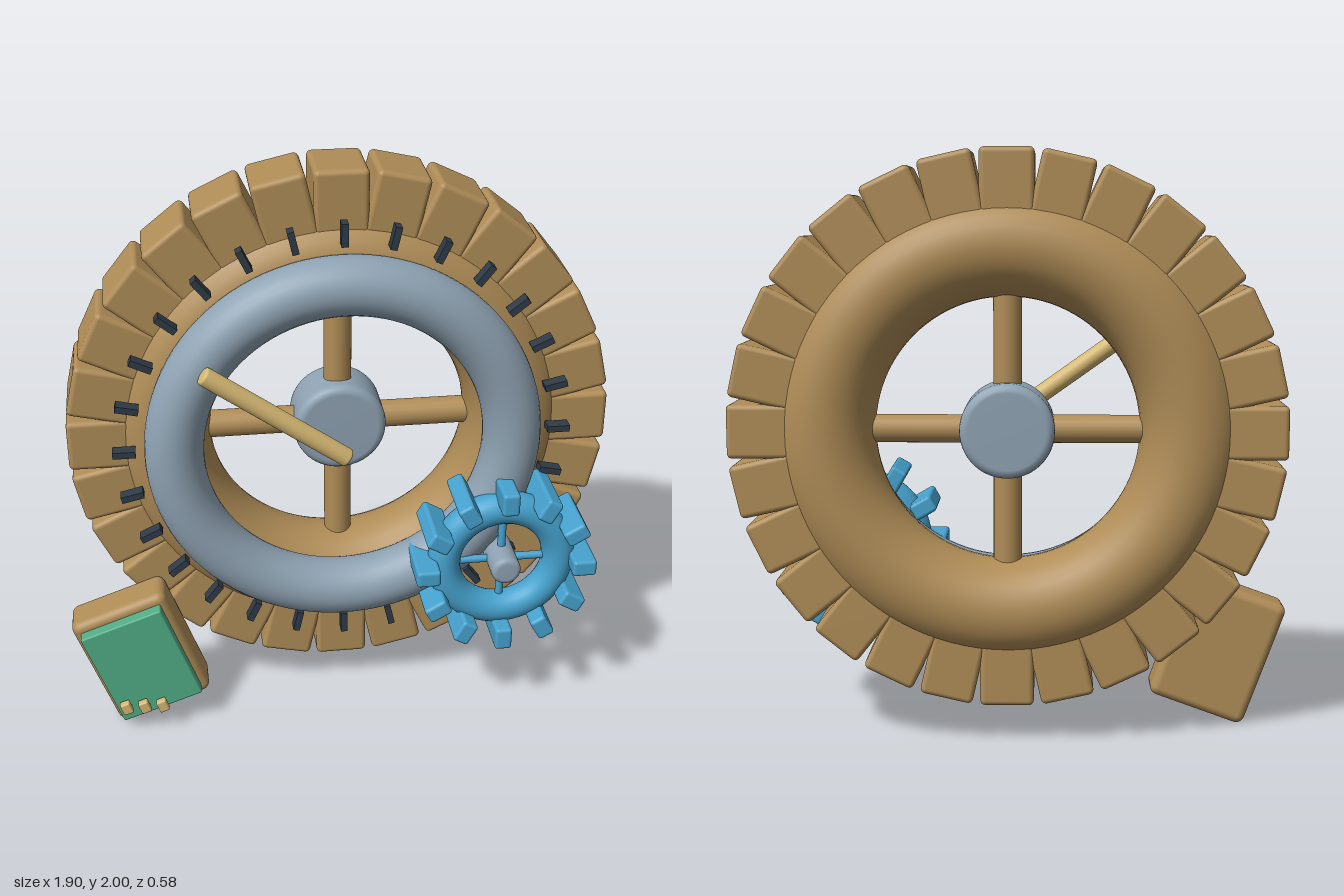
import * as THREE from 'three';
import { RoundedBoxGeometry } from 'three/addons/geometries/RoundedBoxGeometry.js';

const mat = (name, color) => {
  const m = new THREE.MeshStandardMaterial({ color });
  m.name = name;
  return m;
};

function add(parent, name, geometry, material, x = 0, y = 0, z = 0) {
  const mesh = new THREE.Mesh(geometry, material);
  mesh.name = name;
  mesh.position.set(x, y, z);
  parent.add(mesh);
  return mesh;
}

function addGroup(parent, name, x, y, z) {
  const g = new THREE.Group();
  g.name = name;
  g.position.set(x, y, z);
  parent.add(g);
  return g;
}

// Cylinder along y with rounded rims
function roundedCylinder(radius, length, bevel, sides = 32) {
  const h = length / 2;
  const points = [new THREE.Vector2(0, -h)];
  for (const side of [-1, 1]) {
    for (let i = 0; i <= 4; i++) {
      const a = (side < 0 ? i - 4 : i) * Math.PI / 8;
      points.push(new THREE.Vector2(
        radius - bevel + bevel * Math.cos(a),
        side * (h - bevel) + bevel * Math.sin(a)));
    }
  }
  points.push(new THREE.Vector2(0, h));
  return new THREE.LatheGeometry(points, sides);
}

// Copies a box around a ring in the xy plane, first one at the top
function ring(parent, name, count, radius, z, geometry, material) {
  for (let i = 0; i < count; i++) {
    const a = i * 2 * Math.PI / count;
    add(parent, name, geometry, material, -Math.sin(a) * radius, Math.cos(a) * radius, z).rotation.z = a;
  }
}

// Two crossing bars make four spokes
function spokes(parent, name, radius, length, material) {
  const geometry = new THREE.CylinderGeometry(radius, radius, length, 20);
  add(parent, name, geometry, material);
  add(parent, name, geometry, material).rotation.z = Math.PI / 2;
}

export function createModel() {
  const bronze = mat('bronze', 0xb08d57);
  const steel = mat('steel', 0x8fa3b3);
  const blue = mat('blue', 0x46a3cf);
  const dark = mat('dark slate', 0x2f3b47);
  const brass = mat('pale brass', 0xd6b872);
  const green = mat('green', 0x52ad86);

  const model = new THREE.Group();
  model.name = 'gearMechanism';

  // Large wheel
  const wheel = addGroup(model, 'largeWheel', 0.014, 1.066, -0.12);
  add(wheel, 'wheelRim', new THREE.TorusGeometry(0.615, 0.17, 32, 96), bronze);
  ring(wheel, 'wheelTooth', 28, 0.817, 0,
    new RoundedBoxGeometry(0.182, 0.234, 0.236, 3, 0.018), bronze);
  spokes(wheel, 'wheelSpoke', 0.048, 1.1, bronze);
  add(wheel, 'wheelHub', roundedCylinder(0.16, 0.2, 0.03, 48), steel).rotation.x = Math.PI / 2;

  // Front ring and its tick marks
  add(wheel, 'frontRing', new THREE.TorusGeometry(0.577, 0.1, 28, 96), steel, 0, 0, 0.196);
  ring(wheel, 'tickMark', 28, 0.745, 0.173, new THREE.BoxGeometry(0.023, 0.078, 0.045), dark);

  // Pointer arm across the ring
  const from = new THREE.Vector3(0.011, 1.072, 0.198);
  const to = new THREE.Vector3(-0.463, 1.41, 0.198);
  const along = to.clone().sub(from);
  const mid = from.clone().add(to).multiplyScalar(0.5);
  const arm = add(model, 'pointerArm', roundedCylinder(0.032, along.length(), 0.01, 24), brass, mid.x, mid.y, mid.z);
  arm.quaternion.setFromUnitVectors(new THREE.Vector3(0, 1, 0), along.normalize());

  // Small gear
  const gear = addGroup(model, 'smallGear', 0.556, 0.62, 0.17);
  add(gear, 'gearRim', new THREE.TorusGeometry(0.204, 0.058, 24, 64), blue);
  ring(gear, 'gearTooth', 12, 0.275, 0, new RoundedBoxGeometry(0.06, 0.084, 0.235, 3, 0.012), blue);
  spokes(gear, 'gearSpoke', 0.014, 0.36, blue);
  add(gear, 'gearHub', roundedCylinder(0.052, 0.205, 0.02), steel).rotation.x = Math.PI / 2;

  // Tilted panel with a green face and three keys
  const panel = addGroup(model, 'panel', -0.72, 0.267, 0);
  panel.rotation.z = 0.345;
  add(panel, 'panelCase', new RoundedBoxGeometry(0.352, 0.455, 0.15, 4, 0.03), bronze, 0, 0, 0.061);
  add(panel, 'panelFace', new RoundedBoxGeometry(0.3, 0.388, 0.06, 2, 0.006), green, 0, 0, 0.149);
  const keyGeometry = new RoundedBoxGeometry(0.036, 0.046, 0.028, 2, 0.006);
  for (let i = -1; i <= 1; i++) {
    // Keys stay in a level row while each follows the tilt
    const p = new THREE.Vector3(i * 0.064, -0.152, 0.205)
      .applyAxisAngle(new THREE.Vector3(0, 0, 1), -panel.rotation.z);
    add(panel, 'panelKey', keyGeometry, brass, p.x, p.y, p.z);
  }
  return model;
}
